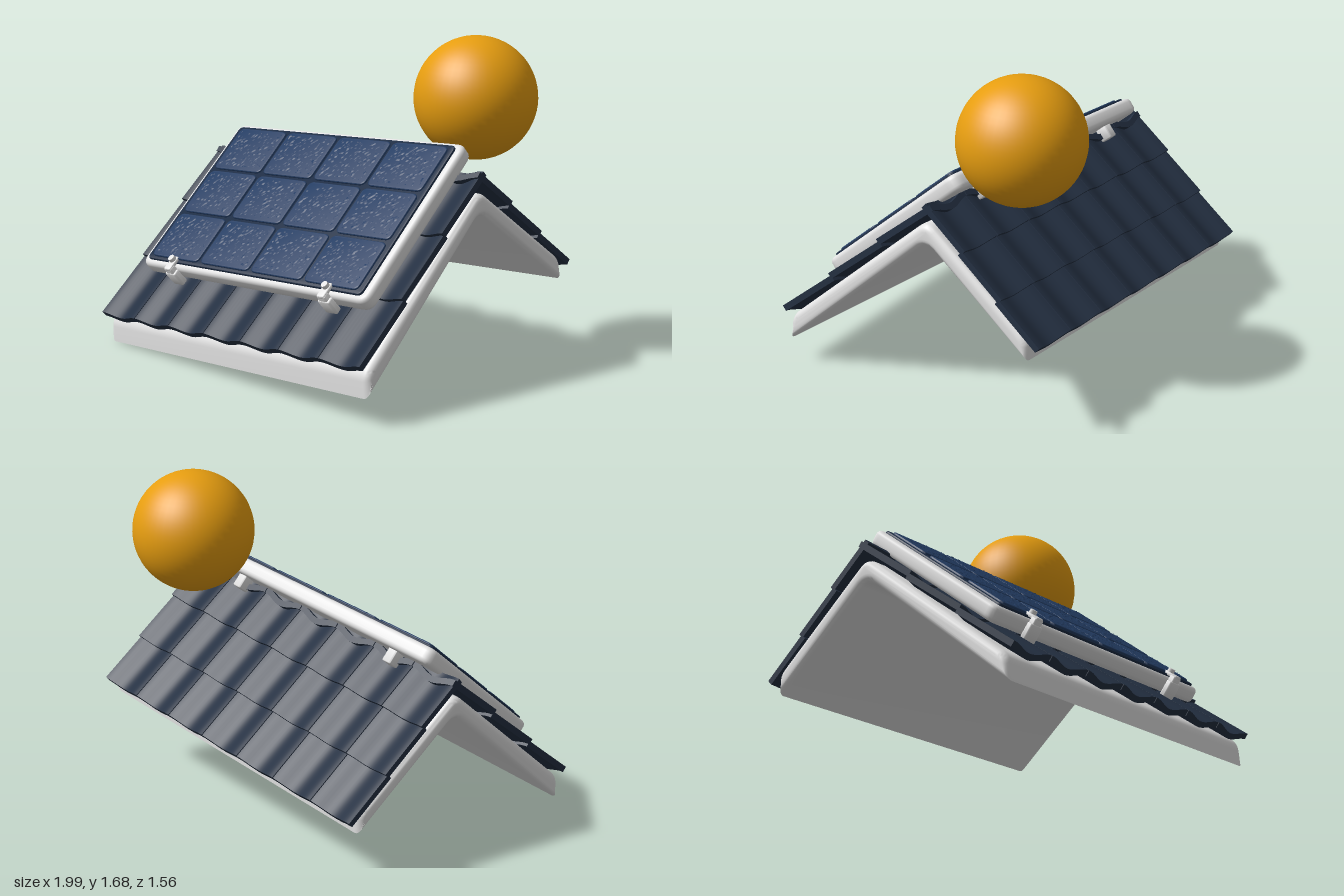
import * as THREE from 'three';
import { toCreasedNormals, mergeGeometries } from 'three/addons/utils/BufferGeometryUtils.js';

const mat = (name, color) => {
  const m = new THREE.MeshStandardMaterial({ color });
  m.name = name;
  return m;
};

// Rounded plate lying flat: width on x, length on z, base at y = 0
function plate(w, l, h, r, b) {
  const x = w / 2, y = l / 2, s = new THREE.Shape();
  s.moveTo(-x + r, -y);
  s.lineTo(x - r, -y); s.quadraticCurveTo(x, -y, x, -y + r);
  s.lineTo(x, y - r); s.quadraticCurveTo(x, y, x - r, y);
  s.lineTo(-x + r, y); s.quadraticCurveTo(-x, y, -x, y - r);
  s.lineTo(-x, -y + r); s.quadraticCurveTo(-x, -y, -x + r, -y);
  const g = new THREE.ExtrudeGeometry(s, {
    depth: h - 2 * b, bevelThickness: b, bevelSize: b, bevelOffset: -b, bevelSegments: 4, curveSegments: 6,
  });
  g.translate(0, 0, b).rotateX(-Math.PI / 2);
  return toCreasedNormals(g, 0.7);
}

export function createModel() {
  const white = mat('white', 0xe2e2e2);
  const slate = mat('slate', 0x243042);
  const backing = mat('panel backing', 0x1b2b43);
  const blue = mat('cell blue', 0x233c62);
  const orange = mat('sun orange', 0xe69d10);
  const model = new THREE.Group();

  let seed = 7;
  const rand = () => (seed = (seed * 16807) % 2147483647) / 2147483647;

  const add = (parent, name, geometry, material, x = 0, y = 0, z = 0) => {
    const m = new THREE.Mesh(geometry, material);
    m.name = name;
    m.position.set(x, y, z);
    parent.add(m);
    return m;
  };

  // The whole house top leans a little to one side
  const tilt = 0.072;
  const house = new THREE.Group();
  house.name = 'tiltedRoof';
  house.rotation.z = tilt;
  house.position.set(0.55 * Math.sin(tilt), 0.55 * (1 - Math.cos(tilt)), 0);
  model.add(house);

  // Roof base: bent slab, profile in z and y
  const p = new THREE.Shape();
  p.moveTo(0.73, 0.07);
  p.lineTo(0.73, 0.15);
  p.quadraticCurveTo(0.73, 0.195, 0.69, 0.23);
  p.lineTo(-0.06, 0.885);
  p.quadraticCurveTo(-0.11, 0.925, -0.16, 0.885);
  p.lineTo(-0.67, 0.505);
  p.quadraticCurveTo(-0.71, 0.475, -0.71, 0.44);
  p.lineTo(-0.71, 0.37);
  p.lineTo(-0.15, 0.785);
  p.quadraticCurveTo(-0.11, 0.81, -0.07, 0.78);
  const bevel = 0.035;
  const slab = new THREE.ExtrudeGeometry(p, {
    depth: 1.93 - 2 * bevel, bevelThickness: bevel, bevelSize: bevel, bevelOffset: -bevel, bevelSegments: 5, curveSegments: 8,
  });
  slab.translate(0, 0, -(1.93 / 2 - bevel)).rotateY(-Math.PI / 2);
  add(house, 'roofBase', toCreasedNormals(slab, 0.7), white);

  // Wavy tiles: seven columns, three overlapping rows on each slope
  const cols = 7, rows = 3, width = 1.932, pitch = width / cols;
  function tileSlope(name, length, angle, turn) {
    const slope = new THREE.Group();
    slope.name = name;
    slope.rotation.order = 'YXZ';
    slope.rotation.set(angle, turn, 0);
    slope.position.set(0, 1.02, -0.12);
    house.add(slope);
    const rowLen = length / rows, thick = 0.032;
    for (let r = 0; r < rows; r++) {
      const tiles = [];
      for (let c = 0; c < cols; c++) {
        const cx = -width / 2 + (c + 0.5) * pitch;
        const g = new THREE.BoxGeometry(pitch - 0.005, thick, rowLen + 0.01, 16, 1, 1);
        const a = g.attributes.position;
        for (let i = 0; i < a.count; i++) {
          const wave = 0.015 * Math.cos((a.getX(i) / pitch + 0.5) * 2 * Math.PI);
          const step = 0.016 * (a.getZ(i) / rowLen - 0.5);
          a.setY(i, a.getY(i) + wave + step);
        }
        g.computeVertexNormals();
        tiles.push(g.translate(cx, -thick / 2 - 0.012, (r + 0.5) * rowLen));
      }
      add(slope, 'tileRow', mergeGeometries(tiles), slate);
    }
  }
  tileSlope('frontTiles', 1.187, 0.717, 0);
  tileSlope('backTiles', 0.862, 0.707, Math.PI);

  // Solar panel: y is away from the roof, z runs down the slope
  const panel = new THREE.Group();
  panel.name = 'solarPanel';
  panel.position.set(0, 0.815, 0.22);
  panel.rotation.x = 0.707;
  house.add(panel);
  add(panel, 'panelFrame', plate(1.67, 1.0, 0.085, 0.06, 0.025), white, 0, -0.085, 0);
  add(panel, 'panelBacking', plate(1.59, 0.94, 0.02, 0.03, 0.005), backing, 0, -0.008, 0);

  // Cells with a speckled, bumpy top
  const cell = plate(0.37, 0.29, 0.02, 0.035, 0.006);
  for (let r = 0; r < 3; r++) {
    for (let c = 0; c < 4; c++) {
      const x = (c - 1.5) * 0.387, z = (r - 1) * 0.307;
      add(panel, 'solarCell', cell, blue, x, 0.002, z);
      const g = new THREE.PlaneGeometry(0.32, 0.24, 34, 24).rotateX(-Math.PI / 2);
      const a = g.attributes.position;
      for (let i = 0; i < a.count; i++) a.setY(i, rand() < 0.2 ? 0.004 : -0.002);
      g.computeVertexNormals();
      add(panel, 'cellBumps', g, blue, x, 0.022, z);
    }
  }

  // Clamps: hooked ones on the lower edge, feet under the upper edge
  for (const x of [-0.573, 0.573]) {
    const clamp = new THREE.Group();
    clamp.name = 'clamp';
    clamp.position.x = x;
    panel.add(clamp);
    add(clamp, 'clampFoot', plate(0.08, 0.04, 0.09, 0.012, 0.008), white, 0, -0.1, 0.515);
    add(clamp, 'clampNeck', plate(0.055, 0.04, 0.12, 0.01, 0.006), white, 0, -0.1, 0.51);
    add(clamp, 'clampLip', plate(0.05, 0.09, 0.02, 0.012, 0.006), white, 0, 0.006, 0.485);
    add(clamp, 'clampBolt', new THREE.CylinderGeometry(0.018, 0.02, 0.022, 16), white, 0, 0.034, 0.465);
    add(clamp, 'upperFoot', plate(0.06, 0.07, 0.08, 0.012, 0.008), white, 0, -0.155, -0.41);
  }

  // Sun behind the ridge
  add(model, 'sun', new THREE.SphereGeometry(0.315, 48, 32), orange, 0.605, 1.37, -0.44);
  return model;
}
